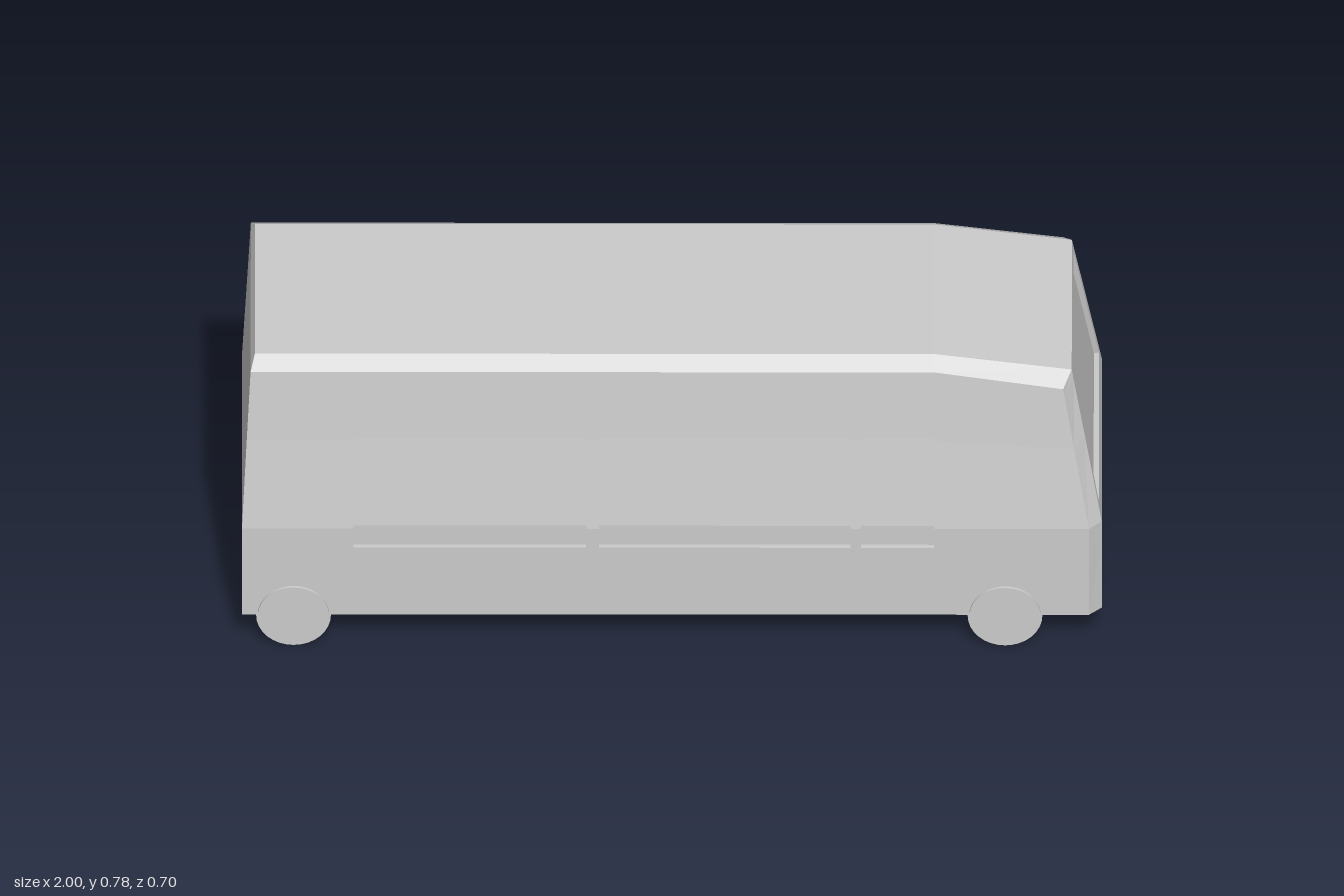
import * as THREE from 'three';

const FLOOR = 0.09, DEPTH = 0.012;

// Piecewise-linear lookup through [input, output] pairs
function ramp(pairs, v) {
  for (let i = 1; i < pairs.length; i++) {
    const [a, fa] = pairs[i - 1], [b, fb] = pairs[i];
    if (v <= b) return fa + (fb - fa) * (v - a) / (b - a);
  }
  return pairs[pairs.length - 1][1];
}
const halfWidth = y => ramp([[0, 0.343], [0.34, 0.343], [0.57, 0.309], [0.755, 0.288]], y);
const rearX = y => ramp([[0, -1], [0.34, -1], [0.755, -0.98]], y);
const noseX = y => ramp([[0, 1], [0.34, 1], [0.735, 0.93]], y);
const noseHalf = y => ramp([[0.09, 0.315], [0.34, 0.312], [0.735, 0.25]], y);
const cornerX = y => ramp([[0, 0.97], [0.34, 0.97], [0.71, 0.91]], y);

// Rows run bottom to top, columns left to right as seen from outside.
// Cells chosen by isWindow are pushed in, with reveals around them.
function panel(rows, isWindow = () => false, inward = [0, 0, 0]) {
  const skin = [], glass = [];
  const push = p => p.map((v, i) => v + inward[i]);
  for (let r = 0; r < rows.length - 1; r++) {
    for (let c = 0; c < rows[0].length - 1; c++) {
      const q = [rows[r][c], rows[r][c + 1], rows[r + 1][c + 1], rows[r + 1][c]];
      if (!isWindow(r, c)) { skin.push(q); continue; }
      glass.push(q.map(push));
      const neighbours = [[r - 1, c], [r, c + 1], [r + 1, c], [r, c - 1]];
      neighbours.forEach(([nr, nc], i) => {
        if (isWindow(nr, nc)) return;
        const a = q[i], b = q[(i + 1) % 4];
        skin.push([a, b, push(b), push(a)]);
      });
    }
  }
  return { skin, glass };
}

const mirror = quads => quads.map(q => q.map(([x, y, z]) => [x, y, -z]).reverse());

function quadMesh(name, quads, material) {
  const pos = [];
  for (const [a, b, c, d] of quads) pos.push(...a, ...b, ...c, ...a, ...c, ...d);
  const g = new THREE.BufferGeometry();
  g.setAttribute('position', new THREE.Float32BufferAttribute(pos, 3));
  g.computeVertexNormals();
  const m = new THREE.Mesh(g, material);
  m.name = name;
  return m;
}

export function createModel() {
  const group = new THREE.Group();
  group.name = 'bus';
  const material = new THREE.MeshStandardMaterial({ color: 0xcccccc });

  // Side wall with three windows, ending in the bevelled nose corner
  const columns = [-0.74, -0.2, -0.17, 0.415, 0.44, 0.61];
  const wallY = [FLOOR, 0.285, 0.34, 0.57, 0.737, 0.755];
  const cornerY = [FLOOR, 0.285, 0.34, 0.55, 0.69, 0.71];
  const noseY = [FLOOR, 0.285, 0.34, 0.565, 0.71, 0.735];
  const wallRows = wallY.map((y, i) => [
    [rearX(y), y, halfWidth(y)],
    ...columns.map(x => [x, y, halfWidth(y)]),
    [cornerX(cornerY[i]), cornerY[i], halfWidth(cornerY[i])],
    [noseX(noseY[i]), noseY[i], noseHalf(noseY[i])],
  ]);
  const side = panel(wallRows, (r, c) => r >= 1 && r <= 3 && [1, 3, 5].includes(c), [0, 0, -DEPTH]);

  // Bevel between side wall and roof
  const roofEdge = [[-0.97, 0.78, 0.25], [0.61, 0.78, 0.25], [0.93, 0.735, 0.25]];
  const eave = [[-0.98, 0.755, 0.288], [0.61, 0.755, 0.288], [0.91, 0.71, halfWidth(0.71)]];
  const bevel = panel([eave, roofEdge]);

  // Roof
  const flip = ([x, y, z]) => [x, y, -z];
  const roof = panel([roofEdge, roofEdge.map(flip)]);

  // Nose with recessed windscreen
  const front = panel([FLOOR, 0.34, 0.38, 0.715, 0.735].map(y => {
    const w = ramp([[0.34, 0.285], [0.38, 0.285], [0.715, 0.233], [0.735, 0.233]], Math.max(y, 0.34));
    return [noseHalf(y), w, -w, -noseHalf(y)].map(z => [noseX(y), y, z]);
  }), (r, c) => r === 2 && c === 1, [-DEPTH, -DEPTH * 0.18, 0]);

  // Flat tail, including its narrow bevel at the roof
  const tail = panel([
    ...[FLOOR, 0.34, 0.57, 0.755].map(y => [[rearX(y), y, -halfWidth(y)], [rearX(y), y, halfWidth(y)]]),
    [flip(roofEdge[0]), roofEdge[0]],
  ]);

  // Underside
  const under = [[-1, FLOOR, 0.343], [0.97, FLOOR, 0.343], [1, FLOOR, 0.315]];
  const floor = panel([under.map(flip), under]);

  const half = [...side.skin, ...bevel.skin];
  group.add(quadMesh('body', [
    ...half, ...mirror(half), ...roof.skin, ...front.skin, ...tail.skin, ...floor.skin,
  ], material));
  group.add(quadMesh('leftSideWindows', mirror(side.glass), material));
  group.add(quadMesh('rightSideWindows', side.glass, material));
  group.add(quadMesh('windscreen', front.glass, material));

  // Wheels, each with a half-round cover standing proud of the wall
  const wheelGeo = new THREE.CylinderGeometry(0.087, 0.087, 0.097, 32).rotateX(Math.PI / 2);
  const arc = new THREE.Shape().absarc(0, 0, 0.083, 0, Math.PI);
  arc.closePath();
  const coverGeo = new THREE.ExtrudeGeometry(arc, { depth: 0.05, bevelEnabled: false, curveSegments: 16 })
    .translate(0, 0, -0.025);
  for (const x of [-0.88, 0.775]) {
    for (const s of [1, -1]) {
      const wheel = new THREE.Mesh(wheelGeo, material);
      wheel.name = 'wheel';
      wheel.position.set(x, 0.087, s * 0.2935);
      const cover = new THREE.Mesh(coverGeo, material);
      cover.name = 'wheelCover';
      cover.position.set(x, FLOOR, s * 0.325);
      group.add(wheel, cover);
    }
  }
  return group;
}
